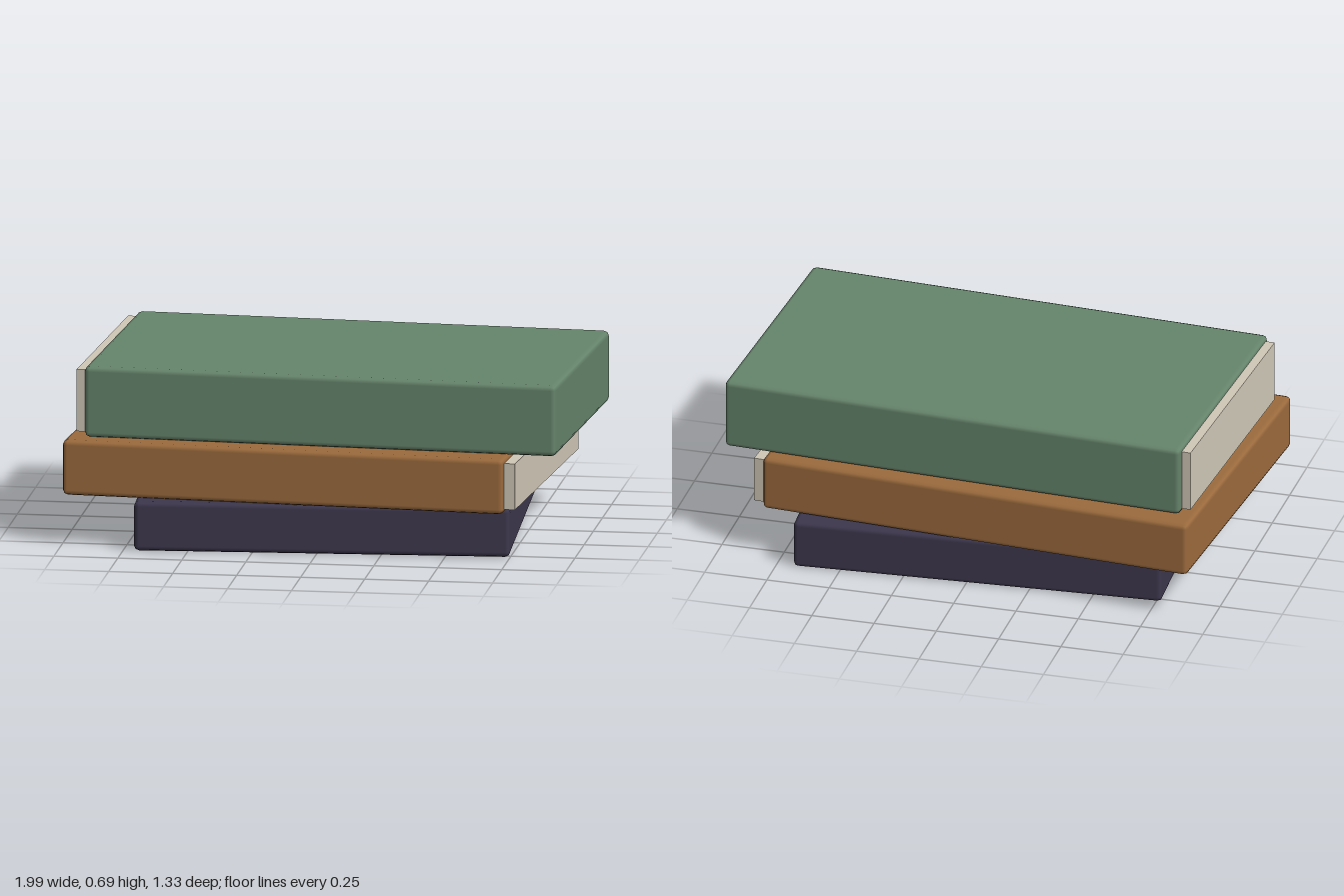
import * as THREE from 'three';
import { RoundedBoxGeometry } from 'three/addons/geometries/RoundedBoxGeometry.js';

const pageMaterial = new THREE.MeshStandardMaterial({ color: 0xd1c9b8 });

// One book: a bevelled cover block and, if given, a page block that
// sticks out of the open side (pages.side = +1 or -1 along x).
function makeBook({ name, color, size: [w, h, d], x, y, angle, pages }) {
  const book = new THREE.Group();
  book.name = name;
  const cover = new THREE.Mesh(
    new RoundedBoxGeometry(w, h, d, 1, 0.02),
    new THREE.MeshStandardMaterial({ color })
  );
  cover.name = name + 'Cover';
  book.add(cover);

  if (pages) {
    const length = w - 0.04;
    const block = new THREE.Mesh(
      new THREE.BoxGeometry(length, pages.height, pages.depth),
      pageMaterial
    );
    block.name = name + 'Pages';
    block.position.x = pages.side * (w / 2 + pages.overhang - length / 2);
    book.add(block);
  }
  book.position.set(x, y + h / 2, 0);
  book.rotation.y = angle;
  return book;
}

export function createModel() {
  const stack = new THREE.Group();
  stack.name = 'bookStack';
  stack.add(
    makeBook({
      name: 'bottomBook', color: 0x3d374d, size: [1.46, 0.195, 1.15],
      x: -0.012, y: 0, angle: 0.0575,
    }),
    makeBook({
      name: 'middleBook', color: 0x9c6b3d, size: [1.745, 0.218, 1.207],
      x: -0.085, y: 0.196, angle: -0.072,
      pages: { side: 1, overhang: 0.042, height: 0.182, depth: 1.155 },
    }),
    makeBook({
      name: 'topBook', color: 0x66856c, size: [1.86, 0.28, 1.07],
      x: 0.038, y: 0.415, angle: -0.056,
      pages: { side: -1, overhang: 0.035, height: 0.245, depth: 1.01 },
    })
  );
  return stack;
}
